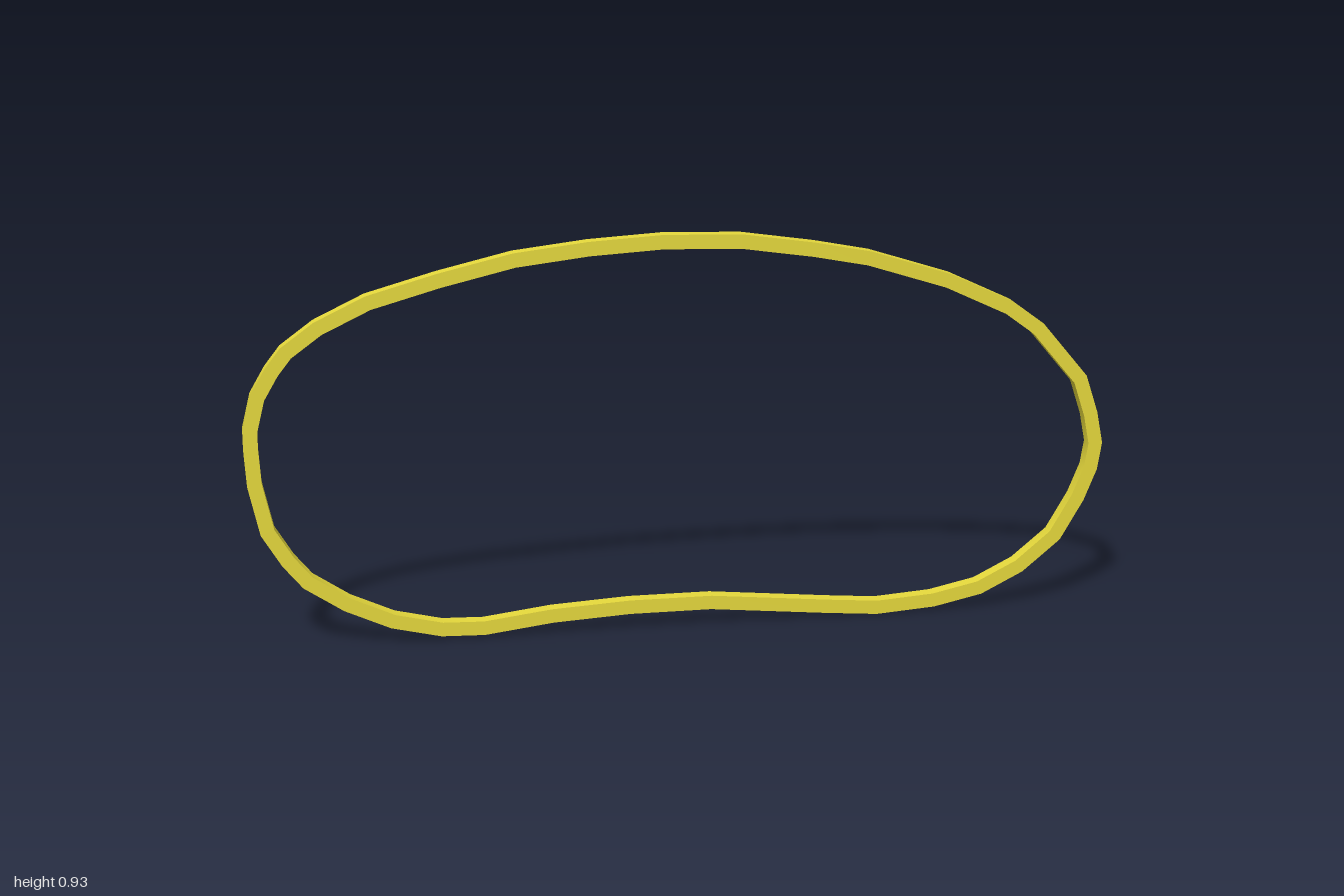
import * as THREE from 'three';

// Outer outline of the band, clockwise seen from the front
const OUTLINE = [
  [-0.05, 0.93], [0.13, 0.925], [0.30, 0.90], [0.43, 0.875], [0.62, 0.815], [0.77, 0.745],
  [0.845, 0.69], [0.955, 0.56], [0.985, 0.47], [1, 0.395], [0.99, 0.33], [0.96, 0.255],
  [0.905, 0.16], [0.815, 0.085], [0.715, 0.035], [0.6, 0.01], [0.46, 0], [0.34, 0.01],
  [0.06, 0.037], [-0.13, 0.037], [-0.31, 0.027], [-0.47, 0.007], [-0.57, 0.01], [-0.685, 0.037],
  [-0.79, 0.085], [-0.88, 0.145], [-0.925, 0.2], [-0.97, 0.275], [-0.995, 0.39], [-1, 0.475],
  [-1, 0.52], [-0.98, 0.6], [-0.945, 0.66], [-0.91, 0.705], [-0.835, 0.76], [-0.72, 0.815],
  [-0.56, 0.86], [-0.39, 0.9], [-0.22, 0.92],
].map(([x, y]) => new THREE.Vector2(x, y));

const THICKNESS = 0.033;
const HALF_DEPTH = 0.0165;

// Moves every outline point inward along its mitre
function inset(points, distance) {
  const n = points.length;
  const edgeNormal = (a, b) => {
    const d = b.clone().sub(a).normalize();
    return new THREE.Vector2(-d.y, d.x);
  };
  return points.map((p, i) => {
    const n0 = edgeNormal(points[(i + n - 1) % n], p);
    const n1 = edgeNormal(p, points[(i + 1) % n]);
    const mitre = n0.clone().add(n1).normalize();
    return p.clone().addScaledVector(mitre, -distance / mitre.dot(n1));
  });
}

// Square-section closed band: four strips, smooth along the loop, sharp at the edges
function bandGeometry(outer, inner, halfDepth) {
  const n = outer.length;
  const corners = [[outer, halfDepth], [outer, -halfDepth], [inner, -halfDepth], [inner, halfDepth]];
  const positions = [];
  const indices = [];
  for (let k = 0; k < 4; k++) {
    const base = positions.length / 3;
    const [ringA, zA] = corners[k];
    const [ringB, zB] = corners[(k + 1) % 4];
    for (let i = 0; i < n; i++) {
      positions.push(ringA[i].x, ringA[i].y, zA, ringB[i].x, ringB[i].y, zB);
      const a = base + 2 * i;
      const next = base + 2 * ((i + 1) % n);
      indices.push(a, next, a + 1, next, next + 1, a + 1);
    }
  }
  const geometry = new THREE.BufferGeometry();
  geometry.setAttribute('position', new THREE.Float32BufferAttribute(positions, 3));
  geometry.setIndex(indices);
  geometry.computeVertexNormals();
  return geometry;
}

export function createModel() {
  const group = new THREE.Group();
  group.name = 'rubberBand';
  const material = new THREE.MeshStandardMaterial({ color: 0xe6d93c });
  const band = new THREE.Mesh(bandGeometry(OUTLINE, inset(OUTLINE, THICKNESS), HALF_DEPTH), material);
  band.name = 'band';
  group.add(band);
  return group;
}
